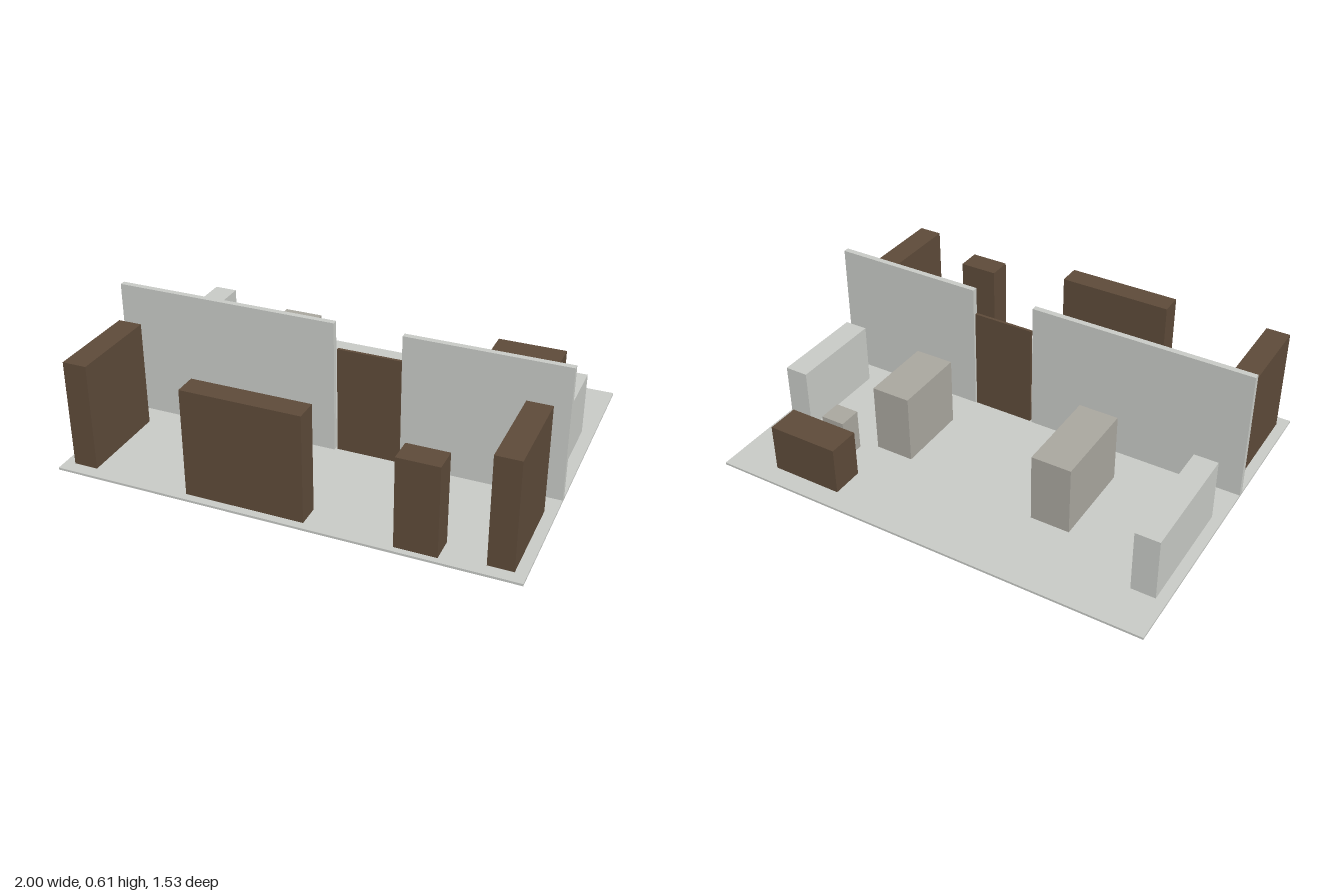
import * as THREE from 'three';

const FLOOR = 0.01;

export function createModel() {
  const model = new THREE.Group();
  model.name = 'roomLayout';

  const material = (name, color) => {
    const m = new THREE.MeshStandardMaterial({ color });
    m.name = name;
    return m;
  };
  const paleGrey = material('paleGrey', 0xc7c9c5);
  const darkWood = material('darkWood', 0x5d4a39);
  const warmGrey = material('warmGrey', 0xa9a69e);

  // A block given by its extents in x and z, and its bottom and top heights
  const block = (name, mat, [x0, x1], [z0, z1], top, bottom = FLOOR) => {
    const mesh = new THREE.Mesh(new THREE.BoxGeometry(x1 - x0, top - bottom, z1 - z0), mat);
    mesh.position.set((x0 + x1) / 2, (bottom + top) / 2, (z0 + z1) / 2);
    mesh.name = name;
    model.add(mesh);
  };

  // Floor slab, partition wall and the door in its gap
  block('floor', paleGrey, [-1, 1], [-0.765, 0.765], FLOOR, 0);
  block('rightWall', paleGrey, [-1, 0.005], [0.162, 0.188], 0.61);
  block('leftWall', paleGrey, [0.303, 1], [0.162, 0.188], 0.61);
  block('door', darkWood, [0.015, 0.297], [0.165, 0.178], 0.49);

  // Front room: dark wooden furniture
  block('rightWardrobe', darkWood, [-0.955, -0.848], [0.29, 0.71], 0.49);
  block('leftWardrobe', darkWood, [0.845, 0.952], [0.29, 0.71], 0.49);
  block('frontCabinet', darkWood, [-0.412, 0.107], [0.63, 0.73], 0.49);
  block('smallCabinet', darkWood, [0.485, 0.663], [0.63, 0.739], 0.41);
  block('lowTable', darkWood, [-0.551, -0.281], [0.293, 0.433], 0.19);

  // Back room: pale shelves, counters, desk and stool
  block('rightShelf', paleGrey, [-0.953, -0.846], [-0.56, -0.02], 0.293);
  block('leftShelf', paleGrey, [0.84, 0.946], [-0.37, 0.068], 0.293);
  block('rightCounter', warmGrey, [-0.493, -0.316], [-0.402, 0.003], 0.325);
  block('leftCounter', warmGrey, [0.321, 0.497], [-0.338, -0.003], 0.325);
  block('desk', darkWood, [0.463, 0.785], [-0.678, -0.532], 0.228);
  block('stool', warmGrey, [0.565, 0.673], [-0.481, -0.377], 0.2);

  return model;
}
